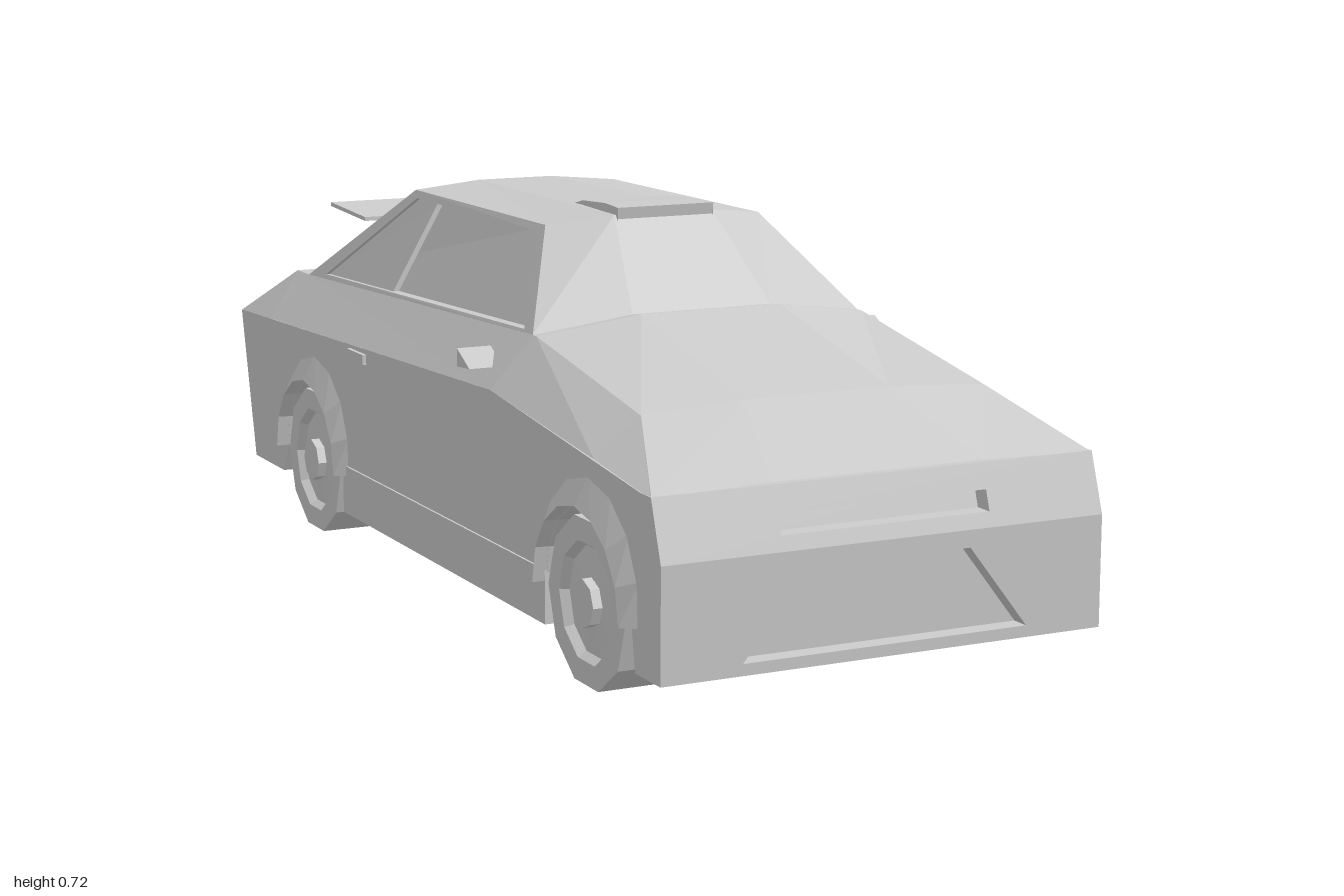
import * as THREE from 'three';

const mat = new THREE.MeshStandardMaterial({ color: 0xcccccc, flatShading: true, side: THREE.DoubleSide });

export function createModel() {
  const car = new THREE.Group();
  car.name = 'car';

  const add = (name, geo) => {
    geo.computeVertexNormals();
    const mesh = new THREE.Mesh(geo, mat);
    mesh.name = name;
    car.add(mesh);
    return mesh;
  };

  // Copy reflected in x, with the winding put right again
  const mirrored = (geo) => {
    const g = geo.index ? geo.toNonIndexed() : geo.clone();
    g.scale(-1, 1, 1);
    const p = g.attributes.position;
    const a = new THREE.Vector3(), b = new THREE.Vector3();
    for (let i = 0; i < p.count; i += 3) {
      a.fromBufferAttribute(p, i + 1);
      b.fromBufferAttribute(p, i + 2);
      p.setXYZ(i + 1, b.x, b.y, b.z);
      p.setXYZ(i + 2, a.x, a.y, a.z);
    }
    return g;
  };
  const addPair = (name, geo) => {
    add(name + 'Left', geo);
    add(name + 'Right', mirrored(geo));
  };

  // Skin over rows of points
  const loft = (rows) => {
    const pos = [];
    for (let i = 0; i < rows.length - 1; i++) {
      for (let j = 0; j < rows[i].length - 1; j++) {
        const a = rows[i][j], b = rows[i + 1][j], c = rows[i][j + 1], d = rows[i + 1][j + 1];
        pos.push(...a, ...b, ...c, ...c, ...b, ...d);
      }
    }
    const g = new THREE.BufferGeometry();
    g.setAttribute('position', new THREE.Float32BufferAttribute(pos, 3));
    return g;
  };
  const bothSides = (half) => [...half, ...half.slice().reverse().map(([x, y, z]) => [-x, y, z])];

  const polygon = (pts) => new THREE.Shape(pts.map(([x, y]) => new THREE.Vector2(x, y)));
  const extrude = (shape, depth) => new THREE.ExtrudeGeometry(shape, { depth, bevelEnabled: false });
  // Side profile of [z, y] points extruded from x0 to x1
  const profile = (pts, x0, x1, hole) => {
    const shape = polygon(pts.map(([z, y]) => [-z, y]));
    if (hole) shape.holes.push(polygon(hole.map(([z, y]) => [-z, y])));
    return extrude(shape, x1 - x0).rotateY(Math.PI / 2).translate(x0, 0, 0);
  };
  const box = (x0, x1, y0, y1, z0, z1) => new THREE.BoxGeometry(x1 - x0, y1 - y0, z1 - z0)
    .translate((x0 + x1) / 2, (y0 + y1) / 2, (z0 + z1) / 2);

  // Lower body with wheel wells cut right across
  const wheelZ = [0.735, -0.545], axleY = 0.145;
  const arc = (z, r, n = 8) => Array.from({ length: n + 1 }, (_, i) => {
    const t = Math.PI * i / n;
    return [z + r * Math.cos(t), axleY + r * Math.sin(t)];
  });
  add('lowerBody', profile([
    [0.965, 0.07], [0.91, 0.07], ...arc(wheelZ[0], 0.163), [0.575, 0.07],
    [-0.38, 0.07], ...arc(wheelZ[1], 0.163), [-0.74, 0.085],
    [-0.915, 0.085], [-0.99, 0.39], [0.34, 0.435], [0.93, 0.368], [0.965, 0.265],
  ], -0.415, 0.415));
  addPair('sill', box(0.40, 0.419, 0.07, 0.165, -0.38, 0.575));

  // Front bumper with lower intake, and sloping nose with grille slot
  const bumper = polygon([[-0.415, 0.07], [0.415, 0.07], [0.415, 0.265], [-0.415, 0.265]]);
  bumper.holes.push(polygon([[-0.268, 0.09], [0.268, 0.09], [0.155, 0.235], [-0.155, 0.235]]));
  add('frontBumper', extrude(bumper, 0.035).translate(0, 0, 0.965));
  const nose = polygon([[-0.415, 0.265], [0.415, 0.265], [0.415, 0.368], [-0.415, 0.368]]);
  nose.holes.push(polygon([[-0.196, 0.29], [0.196, 0.29], [0.196, 0.325], [-0.196, 0.325]]));
  const noseGeo = extrude(nose, 0.035).translate(0, 0, 0.965);
  const np = noseGeo.attributes.position;
  for (let i = 0; i < np.count; i++) np.setZ(i, np.getZ(i) - (np.getY(i) - 0.265) * 0.34);
  add('nose', noseGeo);

  // Bonnet, shoulders and boot deck: belt, shoulder and crease points per row
  add('upperBody', loft([
    [[0.415, 0.365, 0.965], [0.414, 0.366, 0.965], [0.2, 0.372, 0.965]],
    [[0.415, 0.39, 0.76], [0.33, 0.455, 0.76], [0.14, 0.466, 0.76]],
    [[0.415, 0.435, 0.34], [0.33, 0.525, 0.35], [0.14, 0.555, 0.38]],
    [[0.415, 0.434, 0.32], [0.33, 0.525, 0.33], [0.14, 0.548, 0.34]],
    [[0.415, 0.397, -0.80], [0.33, 0.485, -0.80], [0.14, 0.485, -0.80]],
    [[0.415, 0.394, -0.87], [0.33, 0.485, -0.87], [0.14, 0.487, -0.87]],
    [[0.415, 0.39, -0.99], [0.414, 0.39, -0.99], [0.2, 0.39, -0.99]],
  ].map(bothSides)));

  // Windscreen, roof and rear window
  const roofX = 0.22, roofY = 0.692;
  add('cabinTop', loft([
    [[0.33, 0.525, 0.335], [0.14, 0.55, 0.345]],
    [[roofX, roofY, 0.15], [0.10, 0.708, 0.19]],
    [[roofX, roofY, -0.47], [0.08, 0.705, -0.475]],
    [[0.33, 0.485, -0.80], [0.14, 0.487, -0.80]],
  ].map(bothSides)));

  // Cabin sides: flat [z, y] shapes leaned inwards to meet the roof
  const lean = (geo) => {
    const p = geo.attributes.position;
    for (let i = 0; i < p.count; i++) {
      const base = 0.513 + 0.0352 * p.getZ(i);
      p.setX(i, p.getX(i) + 0.33 - 0.11 * (p.getY(i) - base) / (roofY - base));
    }
    return geo;
  };
  const sideOutline = [[0.335, 0.525], [0.15, roofY], [-0.47, roofY], [-0.80, 0.485]];
  const windowOutline = [[0.29, 0.529], [0.135, 0.678], [-0.445, 0.678], [-0.71, 0.497]];
  addPair('windowFrame', lean(profile(sideOutline, -0.022, 0, windowOutline)));
  addPair('doorGlass', lean(profile(sideOutline, -0.026, -0.02)));
  addPair('quarterGlass', lean(profile(
    [[-0.355, 0.505], [-0.355, 0.678], [-0.445, 0.678], [-0.71, 0.497]], -0.02, -0.008)));

  // Roof scoop and floating rear wing
  add('roofScoop', loft([
    [[0.098, 0.687, 0.195], [0.098, 0.687, 0.195]],
    [[0.098, 0.722, 0.20], [0.098, 0.722, 0.20]],
    [[0.094, 0.724, 0.14], [0.094, 0.724, 0.14]],
    [[0.083, 0.716, 0.02], [0.083, 0.716, 0.02]],
    [[0.08, 0.70, -0.05], [0.08, 0.70, -0.05]],
  ].map(([[x, y, z]]) => [[x, 0.69, z], [x, y, z], [-x, y, z], [-x, 0.69, z]])));
  const wing = extrude(polygon([[-0.272, 0.62], [0.272, 0.62], [0.286, 0.78], [-0.286, 0.78]]), 0.008)
    .rotateX(-Math.PI / 2);
  const wp = wing.attributes.position;
  for (let i = 0; i < wp.count; i++) wp.setY(i, wp.getY(i) + 0.615 - (wp.getZ(i) + 0.62) * 0.09);
  add('rearWing', wing);

  // Mirrors, door handles and tail lights
  addPair('mirror', profile([[0.285, 0.464], [0.23, 0.493], [0.23, 0.46]], 0.365, 0.43));
  addPair('doorHandle', box(0.40, 0.423, 0.385, 0.405, -0.34, -0.255));
  addPair('tailLight', box(0.265, 0.375, 0.295, 0.35, -1.0, -0.95));

  // Wheels, axles and arch flares
  wheelZ.forEach((z, i) => {
    const end = i === 0 ? 'front' : 'rear';
    const tyre = new THREE.LatheGeometry(
      [[0, 0], [0.147, 0], [0.147, 0.128], [0.105, 0.128], [0.095, 0.113], [0.04, 0.118]]
        .map(([r, h]) => new THREE.Vector2(r, h)), 10)
      .rotateZ(-Math.PI / 2).translate(0.29, axleY, z);
    addPair(end + 'Wheel', tyre);
    addPair(end + 'Hub', new THREE.CylinderGeometry(0.042, 0.042, 0.03, 8)
      .rotateZ(Math.PI / 2).translate(0.41, axleY, z));
    add(end + 'Axle', new THREE.CylinderGeometry(0.03, 0.03, 0.6, 10)
      .rotateZ(Math.PI / 2).translate(0, axleY, z));
    const flare = Array.from({ length: 9 }, (_, k) => {
      const t = Math.PI * k / 8, c = Math.cos(t), s = Math.sin(t);
      const at = (x, r) => [x, axleY + r * s, z + r * c];
      return [at(0.412, 0.186 + 0.03 * s), at(0.44, 0.165), at(0.40, 0.163)];
    });
    addPair(end + 'ArchFlare', loft(flare));
  });

  return car;
}
